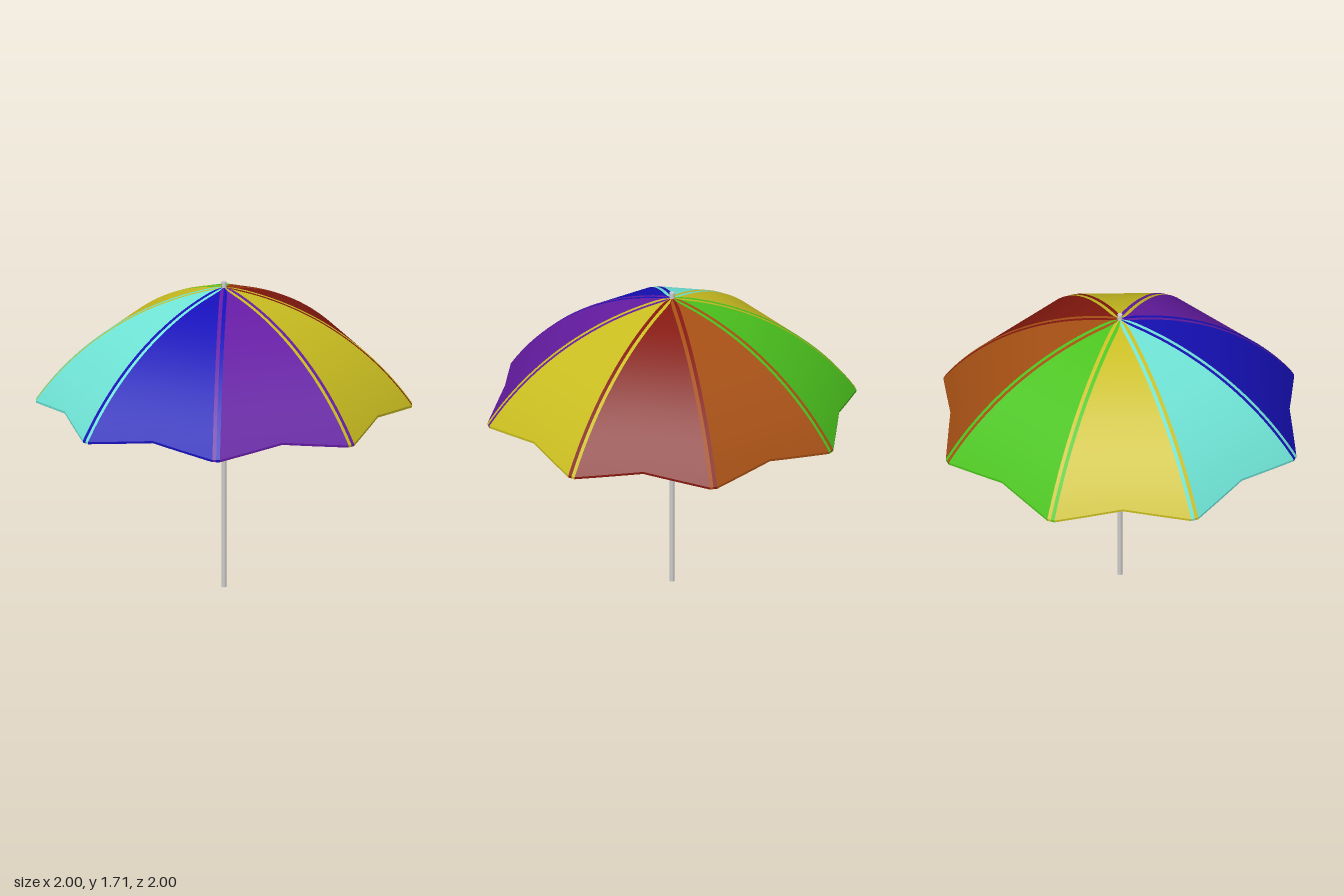
import * as THREE from 'three';
import { mergeGeometries } from 'three/addons/utils/BufferGeometryUtils.js';

// Rib arc: a circle whose centre lies behind the pole, so the canopy is slightly pointed
const R = 1.508;
const CENTER_R = -0.249;
const CENTER_Y = 0.188;
const START = 0.1675;     // arc angle at the pole
const THICK = 0.012;      // cloth thickness, measured downwards
const RIB_END = 1.033;    // hem height at the ribs
const MID_END = 1.08;     // hem height between the ribs
const SEAM = 0.02;        // width of one seam stripe
const STEP = Math.PI / 4;

// Point beside rib i: out along the rib arc, sideways by side * seam width
function ribPoint(i, side, phi, drop) {
  const a = i * STEP;
  const r = CENTER_R + R * Math.sin(phi);
  const w = side * Math.min(SEAM, r * 0.35);
  return new THREE.Vector3(
    r * Math.sin(a) + w * Math.cos(a),
    CENTER_Y + R * Math.cos(phi) - drop,
    r * Math.cos(a) - w * Math.sin(a)
  );
}

// Cloth strip from (rib i0, side s0) to (rib i1, side s1), with a hem peak of the given rise
function clothStrip(name, [i0, s0], [i1, s1], cols, rise, color, insideColor) {
  const at = (u, v, drop) => {
    const hem = RIB_END + rise * (1 - Math.abs(2 * u - 1));
    const phi = THREE.MathUtils.lerp(START, Math.acos((hem - CENTER_Y) / R), v);
    return ribPoint(i0, s0, phi, drop).lerp(ribPoint(i1, s1, phi, drop), u);
  };
  const sheet = (rows, rule) => {
    const g = new THREE.PlaneGeometry(1, 1, cols, rows);
    const p = g.attributes.position;
    for (let k = 0; k < p.count; k++) {
      const q = rule(p.getX(k) + 0.5, 0.5 - p.getY(k));
      p.setXYZ(k, q.x, q.y, q.z);
    }
    g.computeVertexNormals();
    return g;
  };
  const cloth = (geometry, tint) =>
    new THREE.Mesh(geometry, new THREE.MeshStandardMaterial({ color: tint, side: THREE.DoubleSide }));

  const outside = sheet(28, (u, v) => at(u, v, 0));
  const hemEdge = sheet(1, (u, v) => at(u, 1, THICK * v));
  const inside = sheet(28, (u, v) => at(1 - u, v, THICK));
  const strip = new THREE.Group();
  strip.name = name;
  strip.add(cloth(mergeGeometries([outside, hemEdge]), color), cloth(inside, insideColor));
  strip.children[0].name = name + 'Outside';
  strip.children[1].name = name + 'Inside';
  return strip;
}

export function createModel() {
  const umbrella = new THREE.Group();
  umbrella.name = 'umbrella';

  // Panel colours, from the front rib round towards +x
  const colors = [0x1610b8, 0x661ca4, 0xcabe20, 0x84180e, 0xa65014, 0x4cc41e, 0xcabe20, 0x70e6d8];

  const canopy = new THREE.Group();
  canopy.name = 'canopy';
  umbrella.add(canopy);
  colors.forEach((color, i) => {
    const before = colors[(i + 7) % 8];
    // Outside, each seam swaps its neighbours' colours; inside, only the front seam does
    const [insideA, insideB] = i === 0 ? [color, before] : [before, color];
    canopy.add(
      clothStrip('panel', [i, 1], [i + 1, -1], 8, MID_END - RIB_END, color, color),
      clothStrip('seamStripe', [i, -1], [i, 0], 1, 0, color, insideA),
      clothStrip('seamStripe', [i, 0], [i, 1], 1, 0, before, insideB)
    );
  });

  // Pole running up through the top of the canopy
  const pole = new THREE.Mesh(
    new THREE.CylinderGeometry(0.0135, 0.0135, 1.705, 24),
    new THREE.MeshStandardMaterial({ color: 0xcccccc })
  );
  pole.name = 'pole';
  pole.position.y = 0.8525;
  umbrella.add(pole);

  return umbrella;
}
